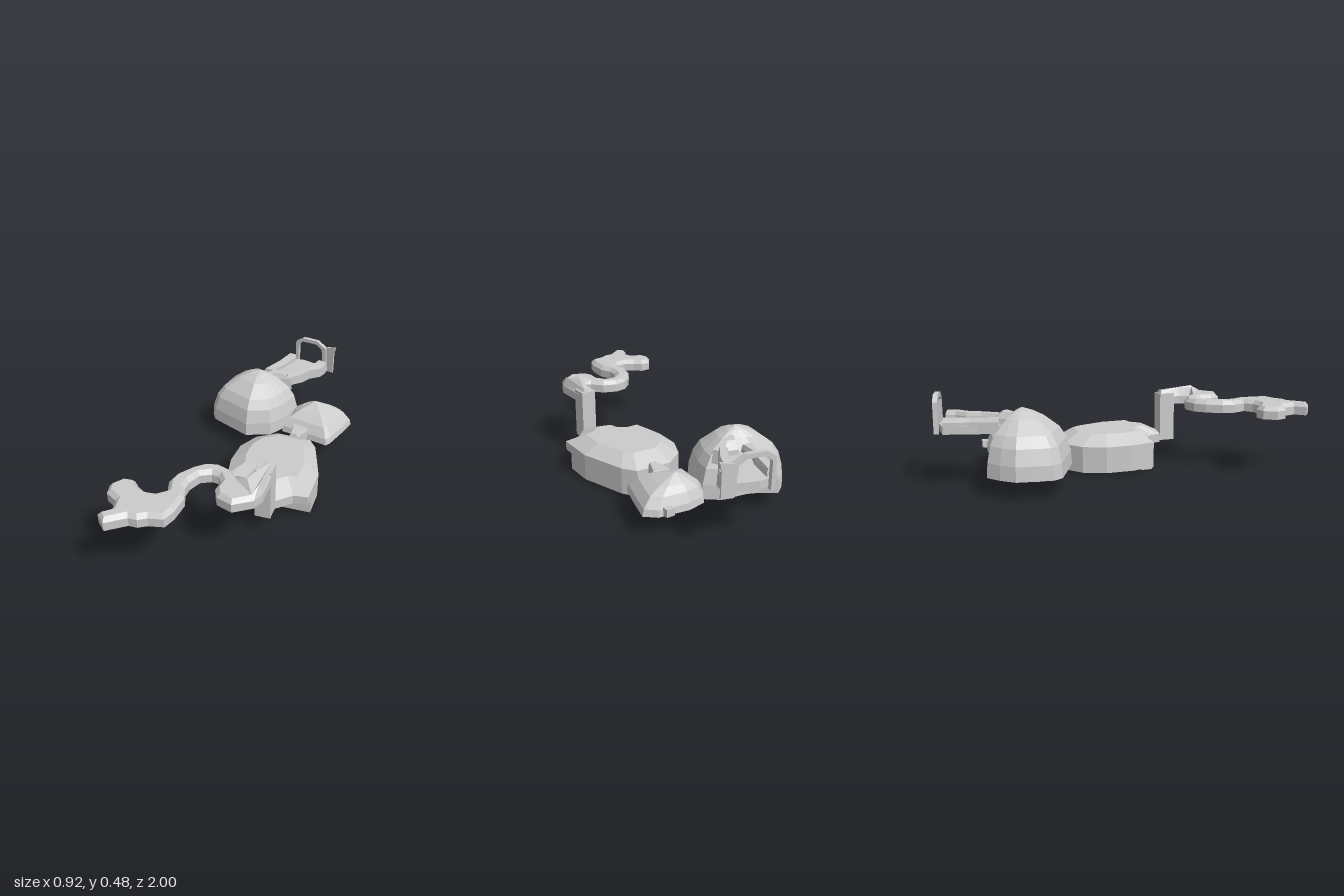
import * as THREE from 'three';

const material = new THREE.MeshStandardMaterial({ color: 0xcccccc, flatShading: true, side: THREE.DoubleSide });

// Outline as [x, z] pairs, turned counter-clockwise when seen from above
function outline(pairs) {
  const pts = pairs.map(([x, z]) => new THREE.Vector2(x, z));
  return THREE.ShapeUtils.area(pts) > 0 ? pts.reverse() : pts;
}

// Horizontal ring of an outline, scaled towards a centre
const scaled = (pts, [cx, cz], y, s) =>
  pts.map(p => new THREE.Vector3(cx + (p.x - cx) * s, y, cz + (p.y - cz) * s));

// Horizontal ring of an outline, moved inwards by a fixed distance
function inset(pts, y, d) {
  const n = pts.length;
  return pts.map((p, i) => {
    const t = pts[(i + 1) % n].clone().sub(pts[(i + n - 1) % n]).normalize();
    return new THREE.Vector3(p.x + t.y * d, y, p.y - t.x * d);
  });
}

// Skin through a stack of rings, closed at both ends
function loft(rings) {
  const n = rings[0].length, pos = [], idx = [];
  rings.forEach(r => r.forEach(p => pos.push(p.x, p.y, p.z)));
  for (let k = 0; k < rings.length - 1; k++)
    for (let i = 0; i < n; i++) {
      const a = k * n + i, b = k * n + (i + 1) % n;
      idx.push(a, b, b + n, a, b + n, a + n);
    }
  const cap = (ring, base, up) => {
    const flat = ring.map(p => new THREE.Vector2(p.x, p.z));
    for (const [a, b, c] of THREE.ShapeUtils.triangulateShape(flat, [])) {
      const ccw = THREE.ShapeUtils.area([flat[a], flat[b], flat[c]]) < 0;
      if (ccw === up) idx.push(base + a, base + b, base + c);
      else idx.push(base + a, base + c, base + b);
    }
  };
  cap(rings[0], 0, false);
  cap(rings[rings.length - 1], (rings.length - 1) * n, true);
  const g = new THREE.BufferGeometry();
  g.setAttribute('position', new THREE.Float32BufferAttribute(pos, 3));
  g.setIndex(idx);
  const flat = g.toNonIndexed();
  flat.computeVertexNormals();
  return flat;
}

export function createModel() {
  const model = new THREE.Group();
  const add = (name, geometry) => {
    const mesh = new THREE.Mesh(geometry, material);
    mesh.name = name;
    model.add(mesh);
    return mesh;
  };
  const box = (name, x0, x1, y0, y1, z0, z1) => {
    const m = add(name, new THREE.BoxGeometry(x1 - x0, y1 - y0, z1 - z0));
    m.position.set((x0 + x1) / 2, (y0 + y1) / 2, (z0 + z1) / 2);
    return m;
  };

  // Central plateau: sloped upper slab over a hollow base
  const centre = [0.17, 0];
  const back = [[-0.06, 0.19], [-0.09, 0.05], [-0.085, -0.1], [-0.03, -0.22], [0.08, -0.3],
    [0.28, -0.29], [0.33, -0.22], [0.41, 0.03]];
  const slab = outline([...back, [0.41, 0.25], [0.33, 0.26], [0.25, 0.34], [0.13, 0.31], [0.12, 0.25], [0.05, 0.19]]);
  add('plateauTop', loft([[0.105, 1], [0.155, 1], [0.21, 0.66]].map(([y, s]) => scaled(slab, centre, y, s))));
  const base = outline([...back, [0.41, 0.19]]);
  add('plateauBase', loft([[0.09, 0.68], [0.01, 0.7], [0.01, 1], [0.13, 1]].map(([y, s]) => scaled(base, centre, y, s))));
  for (const [x, z, w] of [[-0.03, 0.15, 0.06], [0.05, -0.03, 0.07], [0.27, -0.03, 0.08]])
    box('plateauFoot', x - w / 2, x + w / 2, 0, z > 0.1 ? 0.02 : 0.1, z - 0.03, z + 0.03);

  // Large dome hill
  const bigHill = outline([[-0.24, -0.78], [-0.16, -0.725], [-0.1, -0.7], [0.04, -0.68], [0.116, -0.62],
    [0.095, -0.52], [0.06, -0.44], [0.015, -0.365], [-0.125, -0.31], [-0.25, -0.37], [-0.37, -0.43],
    [-0.4, -0.48], [-0.385, -0.58], [-0.37, -0.665], [-0.31, -0.73]]);
  add('largeHill', loft([[0.095, 1], [0.17, 0.98], [0.25, 0.89], [0.305, 0.75], [0.37, 0.43], [0.4, 0.2], [0.415, 0.02]]
    .map(([y, s]) => scaled(bigHill, [-0.12, -0.57], y, s))));
  box('largeHillFoot', -0.33, -0.25, 0.076, 0.11, -0.55, -0.47);
  // Folded crest running from the hilltop to the ramp
  const crest = outline([[-0.12, -0.57], [-0.04, -0.7], [0.04, -0.68], [0.07, -0.63]]);
  add('hillCrest', loft([[0.28, 1], [0.35, 0.95], [0.385, 0.5]].map(([y, s]) => scaled(crest, [-0.06, -0.61], y, s))));

  // Small dome hill
  const smallHill = outline([[0.085, -0.6], [0.14, -0.67], [0.235, -0.69], [0.4, -0.67], [0.458, -0.62],
    [0.42, -0.48], [0.385, -0.365], [0.365, -0.335], [0.24, -0.37], [0.075, -0.41], [0.085, -0.52]]);
  add('smallHill', loft([[0.105, 1], [0.14, 0.96], [0.19, 0.77], [0.22, 0.5], [0.255, 0.05]]
    .map(([y, s]) => scaled(smallHill, [0.24, -0.57], y, s))));
  box('smallHillTab', 0.33, 0.375, 0.11, 0.15, -0.7, -0.65);

  // Neck between small hill and plateau
  const neck = outline([[0.145, -0.4], [0.245, -0.38], [0.205, -0.28], [0.155, -0.28]]);
  add('neck', loft([inset(neck, 0.11, 0), inset(neck, 0.16, 0), inset(neck, 0.18, 0.01)]));

  // Post lifting the winding path above the plateau
  box('post', 0.172, 0.255, 0.105, 0.385, 0.33, 0.42);

  // Winding path with bevelled top
  const path = outline([[0.18, 0.335], [0.255, 0.335], [0.26, 0.56], [0.235, 0.625], [0.145, 0.688], [0.06, 0.656],
    [0.032, 0.6], [0.037, 0.535], [0.01, 0.497], [-0.026, 0.492], [-0.08, 0.52], [-0.106, 0.587],
    [-0.106, 0.64], [-0.08, 0.71], [-0.085, 0.815], [-0.106, 0.884], [-0.18, 0.9], [-0.222, 0.926],
    [-0.265, 0.926], [-0.355, 0.995], [-0.407, 0.947], [-0.36, 0.9], [-0.376, 0.83], [-0.444, 0.79],
    [-0.46, 0.73], [-0.418, 0.667], [-0.36, 0.661], [-0.323, 0.698], [-0.27, 0.73], [-0.217, 0.725],
    [-0.175, 0.693], [-0.201, 0.614], [-0.19, 0.55], [-0.138, 0.471], [-0.085, 0.423], [-0.016, 0.407],
    [0.058, 0.434], [0.111, 0.492], [0.159, 0.513], [0.175, 0.455]]);
  const pathTop = inset(path, 0.387, 0.022);
  for (const p of pathTop) if (p.x > 0.17 && p.z < 0.6) p.y = p.z < 0.36 ? 0.4 : 0.417;
  add('windingPath', loft([inset(path, 0.32, 0), inset(path, 0.365, 0), pathTop]));

  // Ramp behind the large hill: low bed with two stepped banks
  const bed = outline([[-0.12, -0.68], [-0.08, -0.83], [-0.04, -0.96], [0.06, -0.965], [0.22, -0.905],
    [0.2, -0.84], [0.14, -0.79], [0.11, -0.73], [0.04, -0.66]]);
  add('rampBed', loft([inset(bed, 0.285, 0), inset(bed, 0.325, 0)]));
  const banks = [
    [[-0.13, -0.69], [-0.075, -0.83], [-0.04, -0.96], [0.01, -0.95], [-0.015, -0.87], [-0.03, -0.82], [-0.06, -0.77], [-0.07, -0.68]],
    [[0.22, -0.905], [0.205, -0.84], [0.14, -0.79], [0.11, -0.73], [0.04, -0.64], [0.0, -0.67], [0.06, -0.75], [0.095, -0.82], [0.15, -0.87], [0.165, -0.92]],
  ];
  for (const b of banks) {
    const o = outline(b);
    add('rampBank', loft([inset(o, 0.29, 0), inset(o, 0.345, 0), inset(o, 0.365, 0.008)]));
  }

  // Archway at the end of the ramp
  const arch = new THREE.Shape([[0, 0.28], [0, 0.445], [0.05, 0.478], [0.15, 0.478], [0.21, 0.44], [0.225, 0.28],
    [0.2, 0.28], [0.185, 0.43], [0.145, 0.455], [0.05, 0.455], [0.02, 0.425], [0.02, 0.28]]
    .map(p => new THREE.Vector2(...p)));
  const archway = add('archway', new THREE.ExtrudeGeometry(arch, { depth: 0.025, bevelEnabled: false }));
  archway.position.set(0.003, 0, -1);
  archway.rotation.y = -0.22;

  // Side panel with a raised pointed corner
  const panel = new THREE.Shape([[0, 0.28], [0.065, 0.28], [0.065, 0.415], [0.075, 0.457], [0, 0.442]]
    .map(p => new THREE.Vector2(...p)));
  const side = add('sidePanel', new THREE.ExtrudeGeometry(panel, { depth: 0.012, bevelEnabled: false }));
  side.position.set(0.2, 0, -0.96);
  side.rotation.y = -0.3;

  return model;
}
